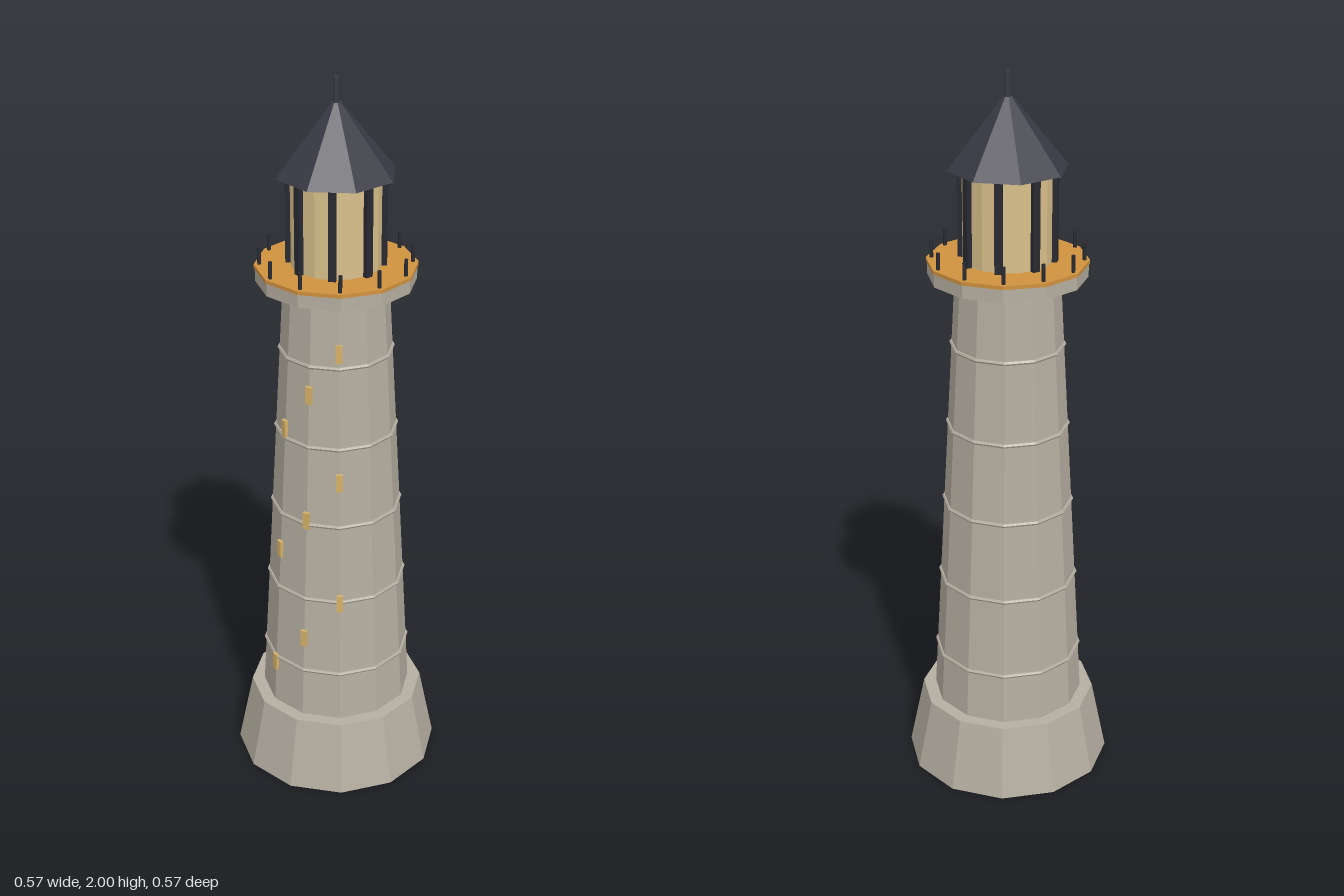
import * as THREE from 'three';

const mat = (name, color) => {
  const m = new THREE.MeshStandardMaterial({ color, flatShading: true });
  m.name = name;
  return m;
};

export function createModel() {
  const stone = mat('stone', 0xb5aea1);
  const orange = mat('orange deck', 0xd0923f);
  const slate = mat('dark slate', 0x3a3a45);
  const iron = mat('dark iron', 0x282a32);
  const glass = mat('lantern glass', 0xd8c08a);
  const light = mat('window light', 0xd6b269);

  const model = new THREE.Group();
  model.name = 'lighthouse';

  const add = (name, geo, material, x = 0, y = 0, z = 0, parent = model) => {
    const m = new THREE.Mesh(geo, material);
    m.name = name;
    m.position.set(x, y, z);
    parent.add(m);
    return m;
  };
  // upright drum from y0 to y1
  const drum = (name, r0, r1, y0, y1, sides, material) =>
    add(name, new THREE.CylinderGeometry(r1, r0, y1 - y0, sides), material, 0, (y0 + y1) / 2, 0);
  const group = (name) => {
    const g = new THREE.Group();
    g.name = name;
    model.add(g);
    return g;
  };

  // stone body
  const towerRadius = (y) => 0.21 - (0.07 * (y - 0.2)) / 1.26;
  drum('base', 0.287, 0.245, 0, 0.205, 12, stone);
  drum('tower', 0.21, 0.14, 0.2, 1.46, 12, stone);

  // slim stone courses around the tower
  const courses = group('stoneCourses');
  for (let i = 0; i < 5; i++) {
    const y = 0.35 + i * 0.23;
    const ring = new THREE.TorusGeometry(towerRadius(y), 0.006, 6, 12).rotateX(Math.PI / 2);
    add('stoneCourse', ring, stone, 0, y, 0, courses);
  }

  // windows climbing the front in a zigzag
  const windows = group('windows');
  for (let i = 0; i < 9; i++) {
    const y = 0.332 + i * 0.1225;
    const a = ((i % 3) - 1) * (Math.PI / 6);
    const r = towerRadius(y) - 0.003;
    const w = add('window', new THREE.BoxGeometry(0.018, 0.05, 0.018), light,
      Math.sin(a) * r, y, Math.cos(a) * r, windows);
    w.rotation.y = a;
  }

  // gallery with its deck and posts
  drum('gallery', 0.212, 0.212, 1.46, 1.5, 12, stone);
  drum('galleryDeck', 0.215, 0.215, 1.496, 1.506, 12, orange);
  const posts = group('railPosts');
  for (let i = 0; i < 12; i++) {
    const a = (i * Math.PI) / 6;
    add('railPost', new THREE.CylinderGeometry(0.005, 0.005, 0.05, 6), iron,
      Math.sin(a) * 0.2, 1.527, Math.cos(a) * 0.2, posts);
  }

  // lantern room with eight glazing bars
  drum('lanternGlass', 0.12, 0.12, 1.5, 1.755, 16, glass);
  const bars = group('glazingBars');
  for (let i = 0; i < 8; i++) {
    const a = ((i + 0.5) * Math.PI) / 4;
    const bar = add('glazingBar', new THREE.BoxGeometry(0.02, 0.25, 0.02), iron,
      Math.sin(a) * 0.122, 1.63, Math.cos(a) * 0.122, bars);
    bar.rotation.y = a;
  }

  // roof and finial
  drum('roof', 0.16, 0.012, 1.75, 1.935, 8, slate);
  drum('finial', 0.008, 0.008, 1.92, 2, 8, slate);

  return model;
}
